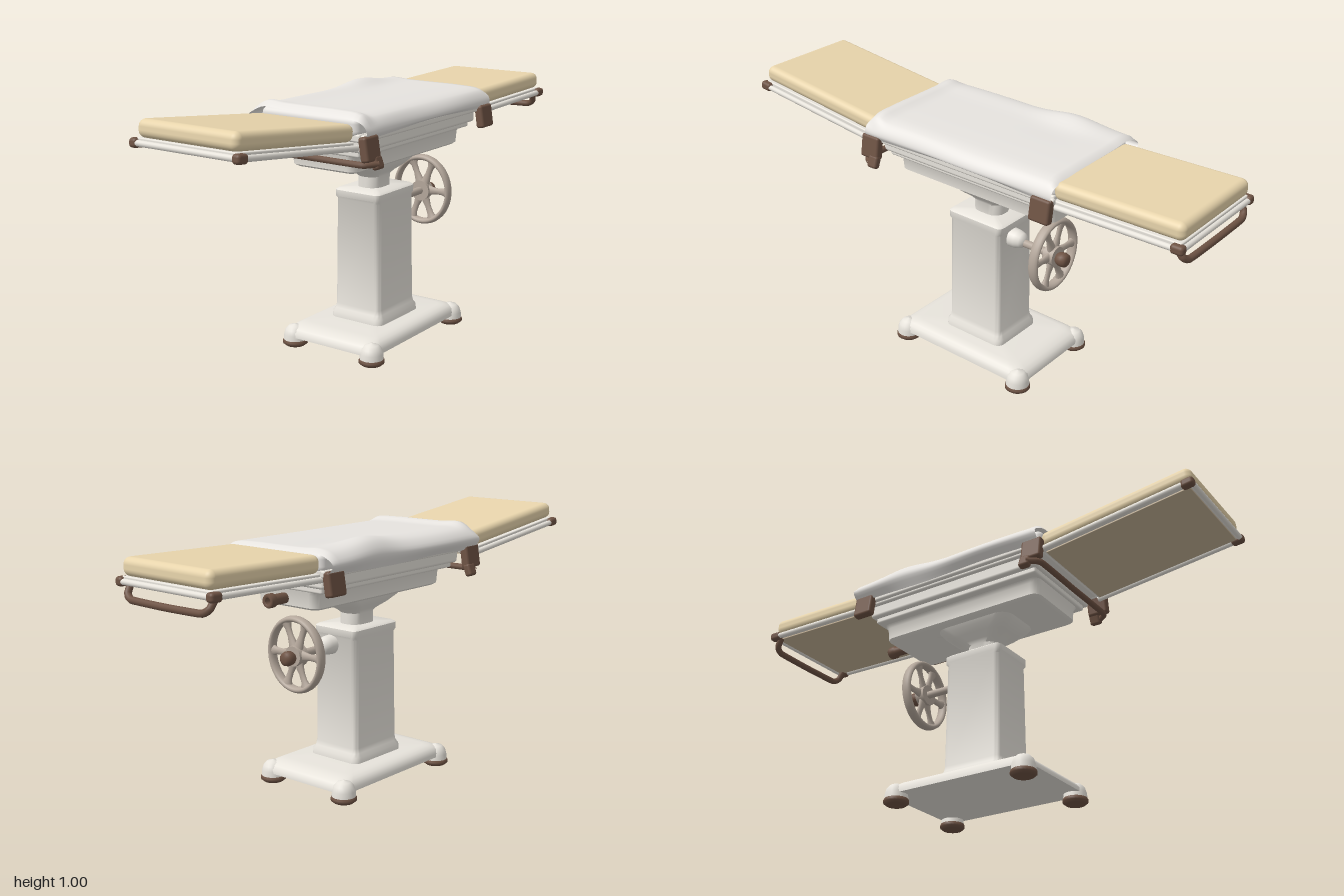
import * as THREE from 'three';
import { toCreasedNormals } from 'three/addons/utils/BufferGeometryUtils.js';
import { RoundedBoxGeometry } from 'three/addons/geometries/RoundedBoxGeometry.js';

const mat = (name, color, side = THREE.FrontSide) =>
  new THREE.MeshStandardMaterial({ name, color, side });

export function createModel() {
  const enamel = mat('white enamel', 0xeeeae2);
  const linen = mat('linen sheet', 0xe6e3df, THREE.DoubleSide);
  const leather = mat('tan leather', 0xf0dcb2);
  const rust = mat('brown metal', 0x6e5344);
  const steel = mat('worn steel', 0xb4a79b);
  const board = mat('underside board', 0xc6b498);

  const model = new THREE.Group();
  model.name = 'operatingTable';

  const add = (name, geo, material, pos = [0, 0, 0], rot = [0, 0, 0], parent = model) => {
    const m = new THREE.Mesh(geo, material);
    m.name = name;
    m.position.set(...pos);
    m.rotation.set(...rot);
    parent.add(m);
    return m;
  };
  const box = (w, h, d, r = 0.008) => new RoundedBoxGeometry(w, h, d, 3, r);
  const cyl = (r0, r1, h, n = 24) => new THREE.CylinderGeometry(r0, r1, h, n);
  const lathe = (pts, n = 24) => new THREE.LatheGeometry(pts.map(p => new THREE.Vector2(...p)), n);
  const tube = (pts, r, n = 40) => new THREE.TubeGeometry(
    new THREE.CatmullRomCurve3(pts.map(p => new THREE.Vector3(...p)), false, 'catmullrom', 0.2), n, r, 10);

  // Stack of rounded rectangles; each section is [y, halfX, halfZ, cornerRadius]
  const loft = (sections, crease = 0.75) => {
    const pos = [], idx = [], per = 6, n = per * 4;
    for (const [y, hx, hz, r] of sections) {
      for (let q = 0; q < 4; q++) {
        const sx = q === 0 || q === 3 ? 1 : -1, sz = q < 2 ? 1 : -1;
        for (let k = 0; k < per; k++) {
          const a = (q + k / (per - 1)) * Math.PI / 2;
          pos.push(sx * (hx - r) + r * Math.cos(a), y, sz * (hz - r) + r * Math.sin(a));
        }
      }
    }
    const top = sections.length - 1, c = (top + 1) * n;
    pos.push(0, sections[0][0], 0, 0, sections[top][0], 0);
    for (let i = 0; i < n; i++) {
      const j = (i + 1) % n;
      for (let s = 0; s < top; s++) {
        const a = s * n, b = a + n;
        idx.push(a + i, b + i, a + j, b + i, b + j, a + j);
      }
      idx.push(c, i, j, c + 1, top * n + j, top * n + i);
    }
    const g = new THREE.BufferGeometry();
    g.setAttribute('position', new THREE.Float32BufferAttribute(pos, 3));
    g.setIndex(idx);
    return toCreasedNormals(g, crease);
  };

  // Base plate with four domed corner legs and feet
  add('basePlate', loft([[0.04, 0.315, 0.21, 0.05], [0.055, 0.314, 0.209, 0.05],
    [0.07, 0.303, 0.203, 0.048], [0.08, 0.288, 0.193, 0.045], [0.087, 0.265, 0.178, 0.04],
    [0.09, 0.24, 0.16, 0.03]]), enamel, [0.035, 0, 0.01]);
  for (const x of [-0.246, 0.318]) for (const z of [-0.172, 0.192]) {
    add('baseLeg', lathe([[0.046, 0.02], [0.044, 0.045], [0.038, 0.064], [0.025, 0.078], [0, 0.085]]),
      enamel, [x, 0, z]);
    add('foot', lathe([[0, 0], [0.038, 0], [0.049, 0.009], [0.049, 0.018], [0.043, 0.029], [0, 0.03]]),
      rust, [x, 0, z]);
  }

  // Column with flared skirt and collar
  add('column', loft([[0.085, 0.14, 0.12, 0.03], [0.112, 0.139, 0.118, 0.03], [0.126, 0.13, 0.109, 0.025],
    [0.145, 0.126, 0.105, 0.022], [0.57, 0.122, 0.1, 0.022], [0.58, 0.129, 0.104, 0.022],
    [0.605, 0.129, 0.104, 0.022], [0.612, 0.119, 0.095, 0.02]]), enamel, [0.036, 0, 0.01]);

  // Neck flaring into the table head
  add('neck', loft([[0.6, 0.066, 0.05, 0.045], [0.655, 0.066, 0.05, 0.045], [0.67, 0.085, 0.06, 0.05],
    [0.69, 0.125, 0.083, 0.06], [0.715, 0.16, 0.103, 0.06], [0.74, 0.178, 0.115, 0.05]]),
  enamel, [0.037, 0, 0.005]);

  // Head casing and stepped trays
  add('headCasing', loft([[0.73, 0.35, 0.135, 0.03], [0.738, 0.362, 0.147, 0.035], [0.785, 0.365, 0.15, 0.035],
    [0.797, 0.37, 0.158, 0.035], [0.805, 0.37, 0.165, 0.03]]), enamel, [0.065, 0, 0.005]);
  add('lowerTray', box(0.76, 0.026, 0.37), enamel, [0.065, 0.812, 0]);
  add('upperTray', box(0.79, 0.055, 0.41, 0.012), enamel, [0.065, 0.847, 0]);
  add('middleBoard', box(0.84, 0.03, 0.44), enamel, [0.06, 0.88, 0]);
  for (const z of [-0.234, 0.234]) add('sideRail', box(0.86, 0.027, 0.02), enamel, [0.065, 0.882, z]);

  // End sections: cushion, board, rail frame and corner caps
  const section = (name, len, thick, pos, tilt, outer, z, rz) => {
    const g = new THREE.Group();
    g.name = name;
    g.position.set(...pos);
    g.rotation.z = tilt;
    model.add(g);
    const none = [0, 0, 0], e = outer * (len / 2);
    add('cushion', new RoundedBoxGeometry(len, thick, 0.435, 5, 0.026), leather, [0, 0.018 + thick / 2, z], none, g);
    add('cushionBoard', box(len - 0.01, 0.022, 0.435, 0.005), enamel, [0, 0.008, z], none, g);
    add('undersidePanel', box(len - 0.03, 0.008, 0.41, 0.002), board, [0, -0.005, z], none, g);
    for (const s of [-1, 1]) {
      add('frameRail', cyl(0.011, 0.011, len, 12), enamel, [0, 0, z + s * rz], [0, 0, Math.PI / 2], g);
      add('cornerCap', box(0.05, 0.034, 0.034, 0.012), rust, [e - outer * 0.014, 0, z + s * (rz - 0.004)], none, g);
    }
    add('endRail', cyl(0.011, 0.011, rz * 2, 12), enamel, [e - outer * 0.002, 0, z], [Math.PI / 2, 0, 0], g);
  };
  section('headSection', 0.62, 0.064, [-0.677, 0.884, -0.01], -0.113, -1, -0.002, 0.226);
  section('footSection', 0.51, 0.066, [0.73, 0.868, 0], 0.025, 1, 0.004, 0.225);

  // Drop handle below the foot end
  add('endHandle', tube([[0.955, 0.868, 0.205], [0.975, 0.835, 0.2], [0.984, 0.818, 0.17], [0.984, 0.815, 0],
    [0.984, 0.818, -0.17], [0.975, 0.835, -0.2], [0.955, 0.868, -0.205]], 0.013), rust);

  // Mattress under the sheet
  add('mattress', new RoundedBoxGeometry(0.85, 0.075, 0.44, 4, 0.025), linen, [0.06, 0.917, -0.005]);

  // Draped sheet: cross-sections swept along x
  const bell = (x, c, w) => Math.exp(-(((x - c) / w) ** 2));
  const nx = 48, nz = 40, sp = [], si = [];
  for (let i = 0; i <= nx; i++) {
    const x = -0.372 + 0.864 * i / nx;
    const b = 0.02 * bell(x, 0.25, 0.12), e = 0.014 * bell(x, -0.34, 0.03);
    const w = 0.003 * Math.sin(x * 11);
    const hem = 0.885 + 0.006 * Math.sin(x * 7 + 1);
    const end = i === 0 || i === nx ? 0.012 : 0;
    const curve = new THREE.CatmullRomCurve3([[0.246, hem], [0.257 + w, 0.9], [0.247 + w, 0.926],
      [0.217, 0.95 + e], [0.12, 0.959 + e], [0, 0.96 + e], [-0.12, 0.961 + e], [-0.2, 0.964 + b + e],
      [-0.25 + w, 0.95 + b], [-0.279 + w, 0.915 + b / 2], [-0.252, 0.875 - w]]
      .map(([z, y]) => new THREE.Vector3(0, y - (y > 0.94 ? end : 0), z)));
    for (let j = 0; j <= nz; j++) {
      const p = curve.getPoint(j / nz);
      sp.push(x, p.y, p.z);
      if (i < nx && j < nz) {
        const a = i * (nz + 1) + j, c = a + nz + 1;
        si.push(a, a + 1, c, c, a + 1, c + 1);
      }
    }
  }
  const sheet = new THREE.BufferGeometry();
  sheet.setAttribute('position', new THREE.Float32BufferAttribute(sp, 3));
  sheet.setIndex(si);
  sheet.computeVertexNormals();
  add('sheet', sheet, linen);

  // Rail clamps, with lugs carrying the cross bar at the head end
  for (const x of [-0.345, 0.452]) for (const s of [-1, 1]) {
    add('railClamp', box(0.085, 0.09, 0.035, 0.01), rust, [x, 0.848, s * 0.252], [-s * 0.16, 0, 0]);
    if (x < 0) add('clampLug', box(0.045, 0.05, 0.03, 0.01), rust, [x + 0.022, 0.797, s * 0.268], [-s * 0.35, 0, 0]);
  }

  // Cross bar beneath the head end
  add('crossBar', tube([[-0.33, 0.795, 0.28], [-0.375, 0.793, 0.24], [-0.375, 0.793, 0],
    [-0.375, 0.793, -0.24], [-0.33, 0.795, -0.28]], 0.012), rust);

  // Hollow socket on the casing end
  add('socket', lathe([[0.013, 0.09], [0.013, 0], [0.02, 0], [0.02, 0.06], [0.026, 0.066],
    [0.026, 0.088], [0.022, 0.094], [0.013, 0.09]]), rust, [0.425, 0.763, 0.008], [0, 0, -Math.PI / 2]);

  // Hand wheel: rim, six flared spokes and hub
  const wheel = new THREE.Group();
  wheel.name = 'handWheel';
  wheel.position.set(0.35, 0.535, 0.03);
  model.add(wheel);
  const rim = add('wheelRim', new THREE.TorusGeometry(0.134, 0.012, 12, 56), steel, [0, 0, 0], [0, Math.PI / 2, 0], wheel);
  rim.scale.set(0.92, 1, 1.7);
  for (const deg of [0, 66, 114, 180, 246, 294]) {
    const a = deg * Math.PI / 180, dy = Math.sin(a), dz = Math.cos(a) * 0.92;
    const spoke = add('wheelSpoke', lathe([[0.024, 0.015], [0.018, 0.045], [0.013, 0.075],
      [0.014, 0.105], [0.024, 0.13]], 12), steel, [0, 0, 0], [Math.atan2(dz, dy), 0, 0], wheel);
    spoke.scale.set(0.65, Math.hypot(dy, dz), 1);
  }
  const alongX = [0, 0, -Math.PI / 2];
  add('wheelHub', cyl(0.038, 0.042, 0.042), steel, [0, -0.003, 0], alongX, wheel);
  add('hubKnob', lathe([[0.018, 0], [0.026, 0.012], [0.028, 0.03], [0.024, 0.044], [0.012, 0.05], [0, 0.05]]),
    rust, [0.018, -0.007, 0], alongX, wheel);

  // Wheel shaft and its boss on the column
  add('wheelShaft', cyl(0.015, 0.015, 0.22, 16), steel, [0.25, 0.533, 0.03], alongX);
  add('shaftBoss', lathe([[0.038, 0], [0.036, 0.03], [0.03, 0.052], [0.016, 0.065], [0, 0.065]]),
    enamel, [0.155, 0.54, 0.03], alongX);

  return model;
}
